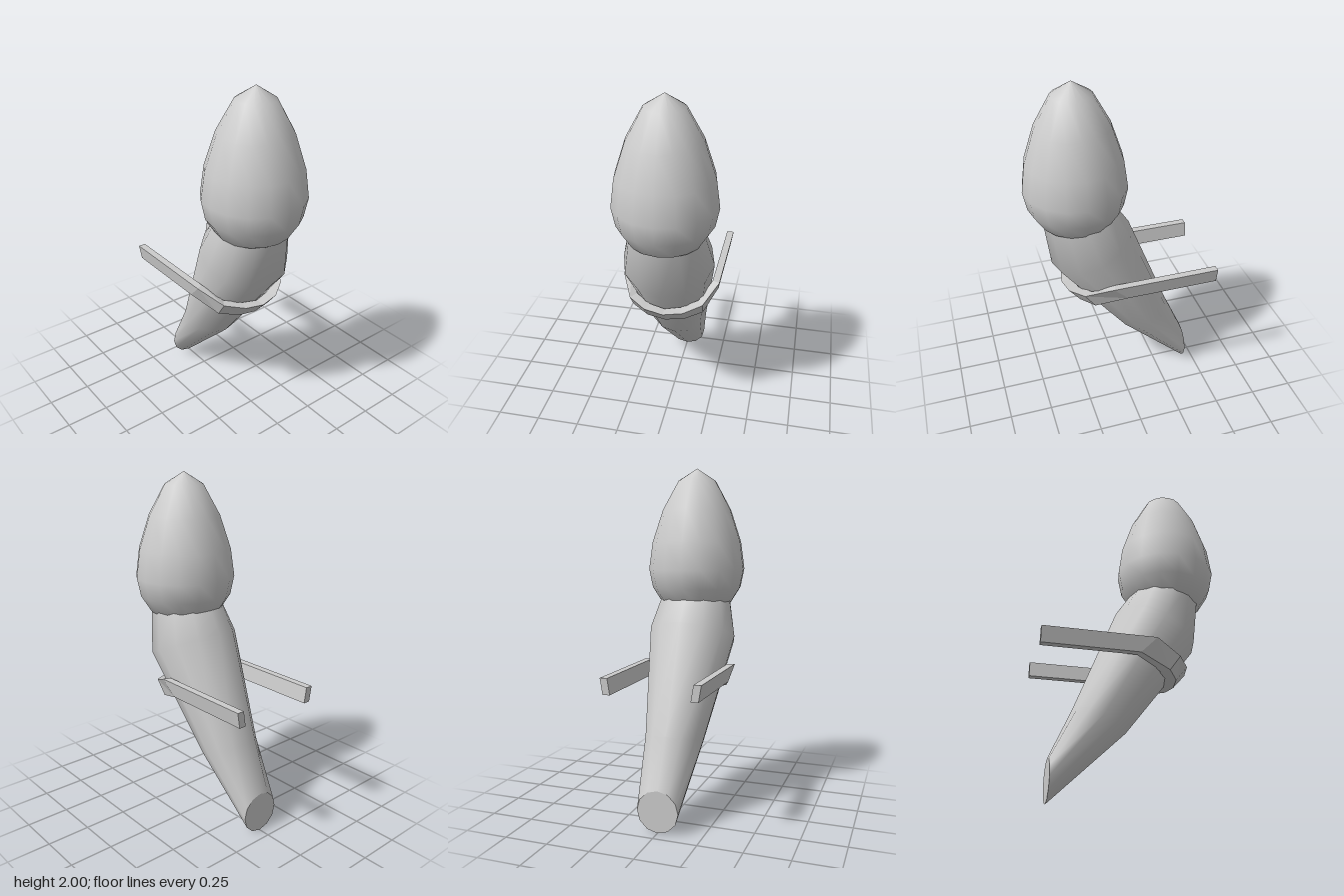
import * as THREE from 'three';

// Skin a list of equal-length point rings; capped closes both ends.
function loft(rings, capped) {
  const n = rings[0].length, last = (rings.length - 1) * n, index = [];
  for (let i = 0; i < rings.length - 1; i++) {
    for (let j = 0; j < n; j++) {
      const k = (j + 1) % n;
      const a = i * n + j, b = i * n + k, c = b + n, d = a + n;
      index.push(a, b, c, a, c, d);
    }
  }
  if (capped) {
    for (let j = 1; j < n - 1; j++) {
      index.push(0, j + 1, j, last, last + j, last + j + 1);
    }
  }
  const g = new THREE.BufferGeometry();
  g.setAttribute('position', new THREE.Float32BufferAttribute(rings.flat(2), 3));
  g.setIndex(index);
  g.computeVertexNormals();
  return g;
}

export function createModel() {
  const group = new THREE.Group();
  const smooth = new THREE.MeshStandardMaterial({ color: 0xcccccc });
  const flat = new THREE.MeshStandardMaterial({ color: 0xcccccc, flatShading: true });
  const add = (name, geometry, material) => {
    const mesh = new THREE.Mesh(geometry, material);
    mesh.name = name;
    group.add(mesh);
    return mesh;
  };

  // Egg-shaped head: a sphere profile stretched towards the tip
  const heights = [1.12, 1.14, 1.2, 1.3, 1.41, 1.57, 1.76, 1.93, 2];
  const profile = heights.map((y, i) =>
    new THREE.Vector2(i % 8 ? 0.289 * Math.sin((i * Math.PI) / 8) : 0, y));
  add('head', new THREE.LatheGeometry(profile, 16), smooth).position.x = 0.236;

  // Slanted body: elliptical rings [centre x, centre y, axis x, axis y, half depth]
  const sections = [
    [-0.43, 0.12, 0, 0.12, 0.12],
    [-0.16, 0.455, -0.15, 0.055, 0.17],
    [0.16, 1.02, -0.23, 0.1, 0.26],
    [0.235, 1.28, -0.2, 0, 0.2],
  ];
  const bodyRings = sections.map(([x, y, ux, uy, depth]) =>
    Array.from({ length: 12 }, (_, j) => {
      const c = Math.cos((j * Math.PI) / 6), s = Math.sin((j * Math.PI) / 6);
      return [x + ux * c, y + uy * c, depth * s];
    }));
  add('body', loft(bodyRings, false), smooth);

  // Flat cut at the lower end of the body
  const cut = add('bodyEnd', new THREE.CircleGeometry(0.12, 12), smooth);
  cut.position.set(-0.43, 0.12, 0);
  cut.rotation.y = -Math.PI / 2;

  // U-shaped strap: sections are top inner, top outer, bottom outer, bottom inner
  const half = [
    [[-0.53, 0.865, 0.24], [-0.53, 0.865, 0.282], [-0.53, 0.775, 0.267], [-0.53, 0.775, 0.225]],
    [[0.08, 0.865, 0.24], [0.1, 0.865, 0.282], [0.01, 0.775, 0.267], [0, 0.775, 0.225]],
    [[0.2, 0.8, 0.18], [0.25, 0.8, 0.21], [0.19, 0.715, 0.205], [0.14, 0.715, 0.17]],
    [[0.26, 0.78, 0.09], [0.32, 0.78, 0.11], [0.255, 0.698, 0.105], [0.19, 0.698, 0.085]],
    [[0.28, 0.77, 0], [0.34, 0.77, 0], [0.27, 0.69, 0], [0.2, 0.69, 0]],
  ];
  const mirrored = half.slice(0, -1).reverse()
    .map((ring) => ring.map(([x, y, z]) => [x, y, -z]));
  add('strap', loft([...half, ...mirrored], true), flat);

  return group;
}
